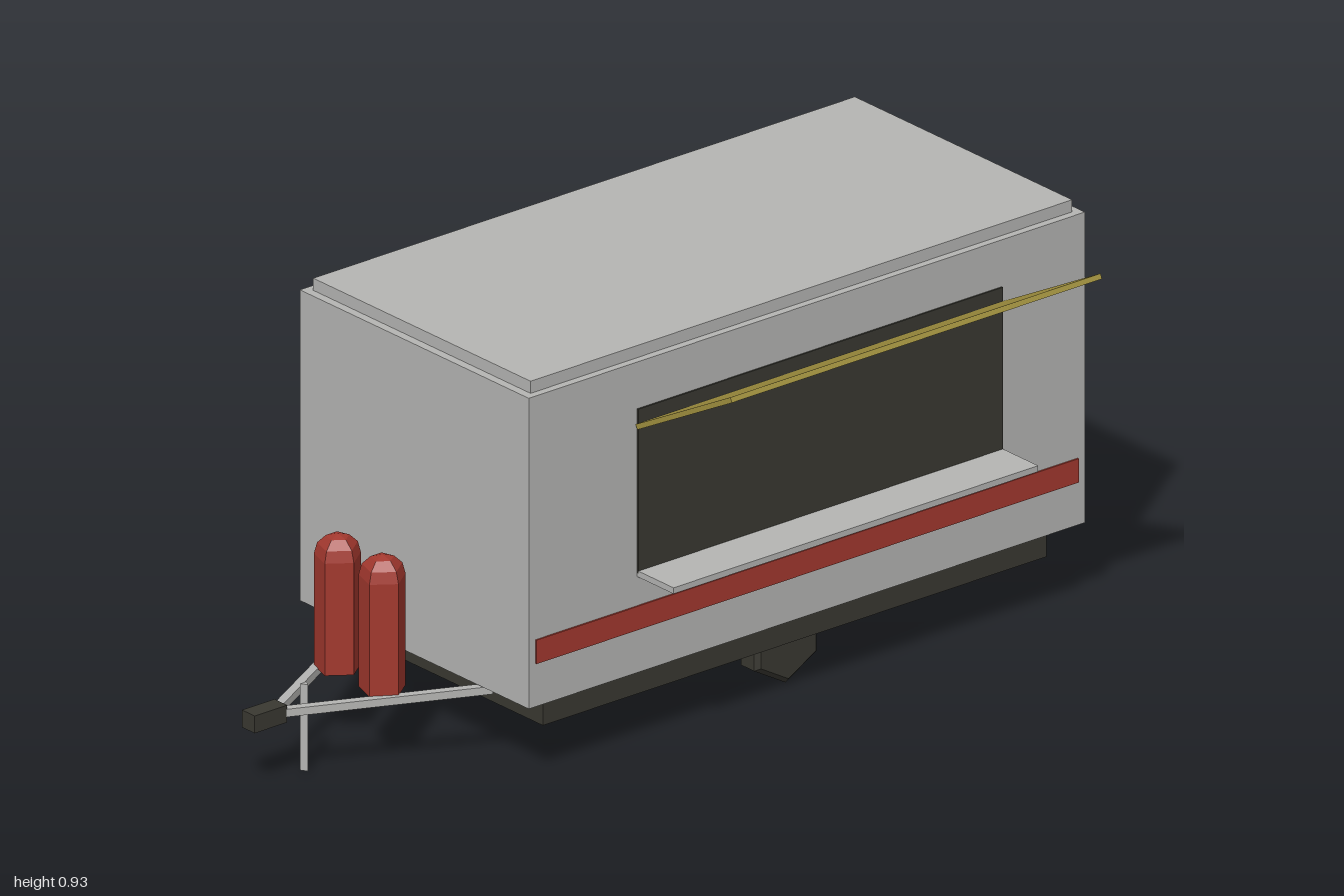
import * as THREE from 'three';

const mat = (name, color) => {
  const m = new THREE.MeshStandardMaterial({ color });
  m.name = name;
  m.flatShading = true;
  return m;
};

export function createModel() {
  const grey = mat('pale grey', 0xb4b4b2);
  const dark = mat('charcoal', 0x393831);
  const red = mat('red', 0xa2382e);
  const yellow = mat('mustard', 0x9f8f3e);

  const model = new THREE.Group();
  model.name = 'foodTrailer';
  const CX = -0.16; // centre line of the trailer

  const add = (name, geometry, material, x = 0, y = 0, z = 0) => {
    const mesh = new THREE.Mesh(geometry, material);
    mesh.name = name;
    mesh.position.set(x, y, z);
    model.add(mesh);
    return mesh;
  };
  // Box given by its limits on each axis
  const box = (name, material, [x0, x1], [y0, y1], [z0, z1]) =>
    add(name, new THREE.BoxGeometry(x1 - x0, y1 - y0, z1 - z0), material,
      (x0 + x1) / 2, (y0 + y1) / 2, (z0 + z1) / 2);
  // Square bar between two points
  const bar = (name, material, a, b, width, height) => {
    const mesh = add(name, new THREE.BoxGeometry(width, height, a.distanceTo(b)), material);
    mesh.position.copy(a).add(b).multiplyScalar(0.5);
    mesh.lookAt(b);
    return mesh;
  };

  // Body, roof and chassis
  box('body', grey, [-0.537, 0.217], [0.18, 0.898], [-1, 0.54]);
  box('roof', grey, [-0.517, 0.199], [0.898, 0.926], [-0.98, 0.52]);
  box('chassis', dark, [-0.5, 0.18], [0.11, 0.18], [-0.925, 0.47]);

  // Side stripes
  box('leftStripe', red, [0.214, 0.221], [0.28, 0.335], [-0.98, 0.522]);
  box('rightStripe', red, [-0.541, -0.534], [0.28, 0.335], [-0.98, 0.522]);

  // Serving hatch: opening, counter and raised awning
  box('hatchOpening', dark, [0.215, 0.221], [0.41, 0.79], [-0.77, 0.24]);
  box('counter', grey, [0.217, 0.337], [0.402, 0.416], [-0.77, 0.24]);
  const hinge = new THREE.Vector2(0.22, 0.75);
  const tip = new THREE.Vector2(0.532, 0.916);
  const awning = add('awning', new THREE.BoxGeometry(hinge.distanceTo(tip), 0.012, 1.025), yellow,
    (hinge.x + tip.x) / 2, (hinge.y + tip.y) / 2, -0.268);
  awning.rotation.z = Math.atan2(tip.y - hinge.y, tip.x - hinge.x);

  // Six-sided wheels with bevelled rims, a corner pointing down
  const tyre = [[0, -0.0325], [0.088, -0.0325], [0.1, -0.022], [0.1, 0.022], [0.088, 0.0325], [0, 0.0325]];
  const wheelGeo = new THREE.LatheGeometry(tyre.map(p => new THREE.Vector2(...p)), 6)
    .rotateZ(Math.PI / 2).rotateX(Math.PI / 2);

  // Five-sided gas bottles with domed tops
  const bottleProfile = [new THREE.Vector2(0, 0.168), new THREE.Vector2(0.0525, 0.168)];
  for (let i = 0; i <= 3; i++) {
    const a = i * Math.PI / 6;
    bottleProfile.push(new THREE.Vector2(i === 3 ? 0 : 0.0525 * Math.cos(a), 0.427 + 0.0515 * Math.sin(a)));
  }
  const bottleGeo = new THREE.LatheGeometry(bottleProfile, 5).rotateY(Math.PI / 2);

  for (const [side, s] of [['left', 1], ['right', -1]]) {
    add(side + 'Wheel', wheelGeo, dark, CX + s * 0.287, 0.104, -0.228);
    add(side + 'GasBottle', bottleGeo, red, CX + s * 0.0735, 0, 0.69);
    bar(side + 'DrawBar', grey, new THREE.Vector3(CX + s * 0.22, 0.167, 0.51),
      new THREE.Vector3(CX, 0.155, 0.93), 0.02, 0.018);
  }

  // Coupler and jack stand
  box('coupler', dark, [CX - 0.021, CX + 0.021], [0.134, 0.174], [0.91, 1]);
  add('jackStand', new THREE.CylinderGeometry(0.0105, 0.0105, 0.2, 3).rotateY(Math.PI / 2),
    grey, CX + 0.002, 0.1, 0.845);

  return model;
}
